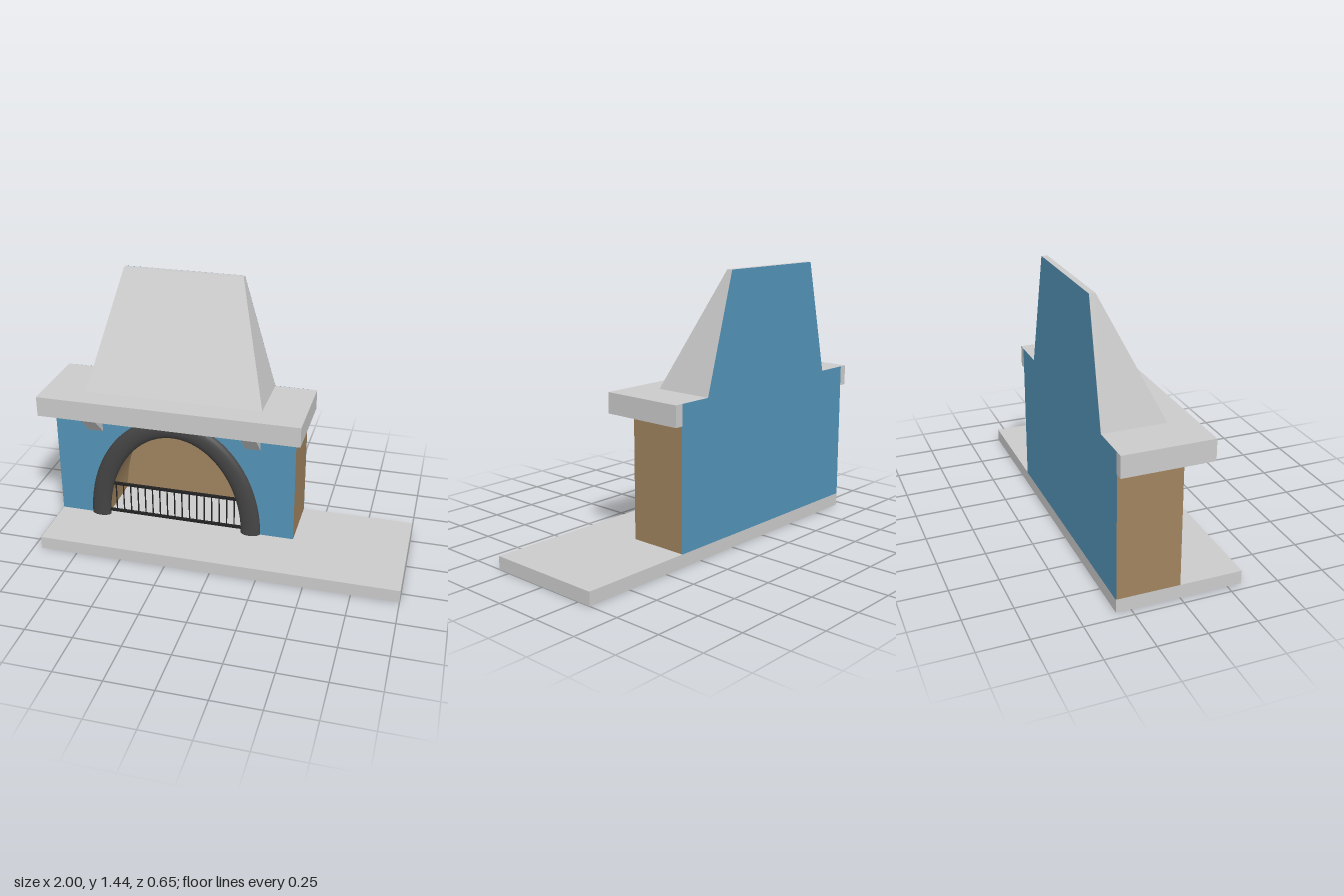
import * as THREE from 'three';

const mat = (color, side = THREE.FrontSide) => new THREE.MeshStandardMaterial({ color, side });

export function createModel() {
  const model = new THREE.Group();
  const grey = mat(0xcccccc), blue = mat(0x5394b8), brown = mat(0xa0845f);
  const dark = mat(0x444444), iron = mat(0x222222);
  const cx = -0.287, back = -0.325, floorY = 0.07;

  const add = (name, geometry, material, parent = model) => {
    const mesh = new THREE.Mesh(geometry, material);
    mesh.name = name;
    parent.add(mesh);
    return mesh;
  };
  // Box given by its two extreme corners
  const box = (x0, x1, y0, y1, z0, z1) => new THREE.BoxGeometry(x1 - x0, y1 - y0, z1 - z0)
    .translate((x0 + x1) / 2, (y0 + y1) / 2, (z0 + z1) / 2);

  // Hearth slab, a shell open underneath (the bottom face is dropped)
  const slab = box(-0.955, 1, 0, floorY, back, 0.325);
  const faces = Array.from(slab.index.array);
  faces.splice(18, 6);
  slab.setIndex(faces);
  slab.clearGroups();
  add('hearthSlab', slab, mat(0xcccccc, THREE.DoubleSide));

  // Fireplace body with an arched tunnel: painted front, brown sides and vault
  const a = 0.39, b = 0.55;
  const outline = new THREE.Shape();
  outline.moveTo(-0.955, floorY);
  outline.lineTo(cx - a, floorY);
  outline.absellipse(cx, floorY, a, b, Math.PI, 0, true);
  outline.lineTo(0.385, floorY);
  outline.lineTo(0.385, 0.715);
  outline.lineTo(-0.955, 0.715);
  const body = new THREE.ExtrudeGeometry(outline, { depth: 0.323, bevelEnabled: false, curveSegments: 40 });
  add('body', body.translate(0, 0, -0.323), [blue, brown]);

  // Firebox back wall and pale floor
  add('fireboxBack', box(cx - 0.4, cx + 0.4, floorY, 0.64, -0.322, -0.318), brown);
  add('fireboxFloor', new THREE.PlaneGeometry(2 * a, 0.318).rotateX(-Math.PI / 2)
    .translate(cx, floorY + 0.002, -0.159), mat(0xffffff));

  // Mantel shelf
  add('mantel', box(-1, 0.43, 0.715, 0.825, back, 0.135), grey);

  // Tapered hood with an upright back
  const hood = box(-0.77, 0.2, 0.825, 1.435, back, 0);
  const p = hood.attributes.position;
  for (let i = 0; i < p.count; i++) {
    if (p.getY(i) < 1) continue;
    p.setX(i, p.getX(i) < cx ? -0.63 : 0.025);
    if (p.getZ(i) > -0.1) p.setZ(i, -0.295);
  }
  hood.computeVertexNormals();
  add('hood', hood, grey);

  // Painted back panel following the body and hood silhouette
  const panel = new THREE.Shape([
    [-0.955, floorY], [0.385, floorY], [0.385, 0.825], [0.2, 0.825],
    [0.025, 1.435], [-0.63, 1.435], [-0.77, 0.825], [-0.955, 0.825],
  ].map(([x, y]) => new THREE.Vector2(x, y)));
  add('backPanel', new THREE.ShapeGeometry(panel).translate(0, 0, back - 0.001), mat(0x5394b8, THREE.DoubleSide));

  // Triangular brackets under the mantel
  const wedge = new THREE.Shape([[0, 0.595], [0.12, 0.715], [0, 0.715]].map(([z, y]) => new THREE.Vector2(z, y)));
  for (const x of [-0.769, 0.111]) {
    const bracket = new THREE.ExtrudeGeometry(wedge, { depth: 0.083, bevelEnabled: false });
    add('bracket', bracket.rotateY(-Math.PI / 2).translate(x + 0.083, 0, 0), grey);
  }

  // Rounded arch surround, flattened front to back
  const arc = [];
  for (let i = 0; i <= 32; i++) {
    const t = Math.PI * (1 - i / 32);
    arc.push(new THREE.Vector3(cx + 0.433 * Math.cos(t), floorY + 0.59 * Math.sin(t), 0));
  }
  const surround = new THREE.TubeGeometry(new THREE.CatmullRomCurve3(arc), 80, 0.055, 20);
  add('archSurround', surround.scale(1, 1, 0.53), dark);

  // Iron fire guard: two rails and a row of bars
  const guard = new THREE.Group();
  guard.name = 'fireGuard';
  model.add(guard);
  for (const [y, half] of [[0.1, 0.385], [0.275, 0.37]]) {
    add('guardRail', box(cx - half, cx + half, y - 0.007, y + 0.007, -0.007, 0.007), iron, guard);
  }
  for (let i = 0; i < 17; i++) {
    add('guardBar', new THREE.CylinderGeometry(0.004, 0.004, 0.175, 8)
      .translate(cx + (i - 8) * 0.0425, 0.1875, 0), iron, guard);
  }
  return model;
}
